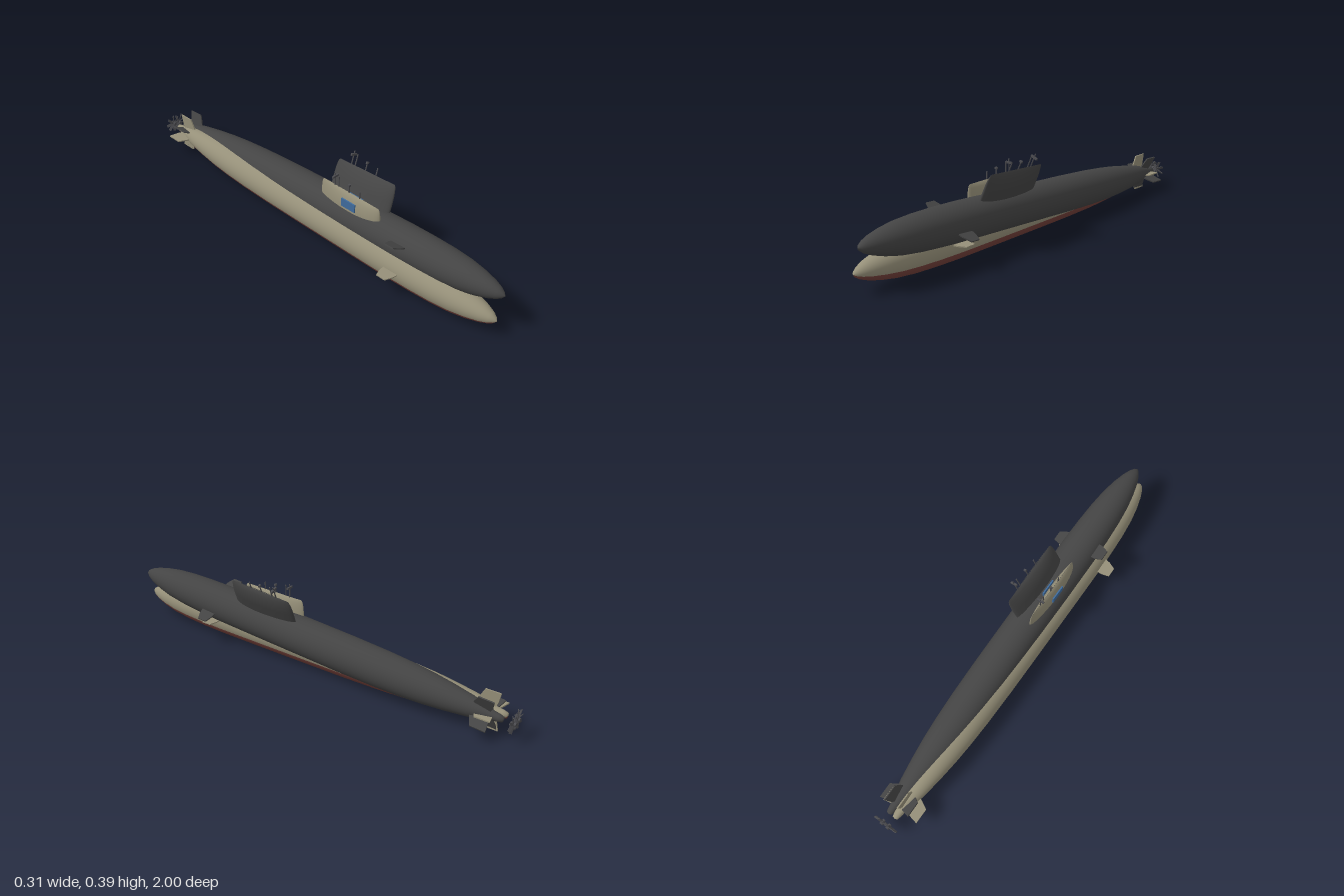
import * as THREE from 'three';

const mat = (name, color, side = THREE.FrontSide) => {
  const m = new THREE.MeshStandardMaterial({ color, side });
  m.name = name;
  return m;
};

function add(parent, name, geometry, material) {
  const mesh = new THREE.Mesh(geometry, material);
  mesh.name = name;
  parent.add(mesh);
  return mesh;
}

// hull outline as [radius, z] from stern to bow
const PROFILE = [
  [0.0, -0.947], [0.012, -0.943], [0.017, -0.925], [0.02, -0.9], [0.033, -0.85], [0.045, -0.8],
  [0.059, -0.7], [0.07, -0.6], [0.077, -0.5], [0.082, -0.38], [0.085, -0.2], [0.0855, 0],
  [0.0855, 0.3], [0.085, 0.5], [0.082, 0.62], [0.077, 0.72], [0.068, 0.81], [0.055, 0.88],
  [0.04, 0.935], [0.026, 0.97], [0.013, 0.99], [0, 1.0],
].map(([r, z]) => new THREE.Vector2(r, z));

// sector of the hull; angle 0 points straight down
function hullSector(fromDeg, toDeg) {
  const rad = Math.PI / 180;
  const segs = Math.round((toDeg - fromDeg) / 7.5);
  return new THREE.LatheGeometry(PROFILE, segs, fromDeg * rad, (toDeg - fromDeg) * rad).rotateX(Math.PI / 2);
}

// flat plate drawn as [span, z] corners
function plate(corners, thickness) {
  const shape = new THREE.Shape(corners.map(([x, z]) => new THREE.Vector2(x, z)));
  return new THREE.ExtrudeGeometry(shape, { depth: thickness, bevelEnabled: false })
    .translate(0, 0, -thickness / 2).rotateX(Math.PI / 2);
}

// sail lofted from teardrop sections that narrow towards a rounded top
function sailGeometry() {
  const levels = [[0.05, 0.026, 1], [0.13, 0.026, 1], [0.155, 0.0235, 0.995], [0.175, 0.019, 0.985],
    [0.19, 0.0135, 0.97], [0.201, 0.0075, 0.95], [0.207, 0.0005, 0.91]];
  const n = 32, pos = [], idx = [];
  for (const [y, w, len] of levels) {
    for (let i = 0; i < n; i++) {
      const a = (i / n) * Math.PI * 2;
      const taper = 0.9 + 0.18 * Math.cos(a);
      pos.push(Math.sin(a) * w * taper * 1.06, y, 0.225 + Math.cos(a) * 0.168 * len);
    }
  }
  for (let l = 0; l < levels.length - 1; l++) {
    for (let i = 0; i < n; i++) {
      const a = l * n + i, b = l * n + (i + 1) % n;
      idx.push(a, b, b + n, a, b + n, a + n);
    }
  }
  const g = new THREE.BufferGeometry();
  g.setAttribute('position', new THREE.Float32BufferAttribute(pos, 3));
  g.setIndex(idx);
  g.computeVertexNormals();
  return g;
}

function propeller(material) {
  const g = new THREE.Group();
  g.name = 'propeller';
  add(g, 'propellerHub', new THREE.CylinderGeometry(0.007, 0.009, 0.024, 16).rotateX(Math.PI / 2), material);
  for (let i = 0; i < 8; i++) {
    const blade = add(g, 'propellerBlade',
      new THREE.BoxGeometry(0.013, 0.036, 0.003).rotateY(0.7).translate(0, 0.024, 0), material);
    blade.rotation.z = (i * Math.PI) / 4;
  }
  g.position.z = -0.987;
  return g;
}

function submarine(name, upper, lower, metal) {
  const sub = new THREE.Group();
  sub.name = name;
  add(sub, 'upperHull', hullSector(67.5, 292.5), upper);
  add(sub, 'lowerHull', hullSector(-67.5, 67.5), lower);
  add(sub, 'sail', sailGeometry(), upper);

  // bow planes
  for (const s of [1, -1]) {
    const plane = add(sub, 'bowPlane',
      plate([[0.07, 0.49], [0.105, 0.49], [0.139, 0.5], [0.139, 0.545], [0.105, 0.56], [0.07, 0.565]], 0.005), upper);
    plane.position.y = 0.012;
    if (s < 0) plane.geometry.rotateZ(Math.PI);
  }

  // cross-shaped stern fins
  for (let i = 0; i < 4; i++) {
    const fin = add(sub, 'sternFin',
      plate([[0.01, -0.885], [0.04, -0.9], [0.087, -0.91], [0.087, -0.84], [0.05, -0.82], [0.01, -0.805]], 0.006), upper);
    fin.rotation.z = (i * Math.PI) / 2;
  }

  // masts: [z, top]
  for (const [z, top] of [[0.275, 0.24], [0.216, 0.246], [0.157, 0.258], [0.136, 0.267]]) {
    add(sub, 'mast', new THREE.CylinderGeometry(0.0028, 0.0028, top - 0.17, 10)
      .translate(0, (top + 0.17) / 2, z), metal);
  }
  add(sub, 'antennaBar', new THREE.BoxGeometry(0.034, 0.009, 0.008).translate(0, 0.25, 0.136), metal);
  add(sub, 'periscopeHead', new THREE.BoxGeometry(0.012, 0.009, 0.009).translate(0, 0.242, 0.216), metal);

  sub.add(propeller(metal));
  return sub;
}

export function createModel() {
  const charcoal = mat('charcoal', 0x444444);
  const beige = mat('beige', 0x969079);
  const red = mat('antifoulingRed', 0x74403a);
  const blue = mat('blue', 0x3f6c9e);
  const metal = mat('darkMetal', 0x4b4b4f);

  const model = new THREE.Group();
  model.name = 'submarines';

  // upright two-tone submarine
  const light = submarine('lightSubmarine', beige, red, metal);
  light.position.set(-0.015, 0.088, 0);
  for (const s of [1, -1]) {
    add(light, 'sailPanel', new THREE.BoxGeometry(0.006, 0.04, 0.075).translate(s * 0.0255, 0.162, 0.235), blue);
  }
  model.add(light);

  // dark submarine, rolled and pitched bow-up
  const dark = submarine('darkSubmarine', charcoal, charcoal, metal);
  dark.position.set(0.018, 0.14, 0);
  dark.rotation.set(-0.058, 0, -0.393);
  model.add(dark);

  return model;
}
